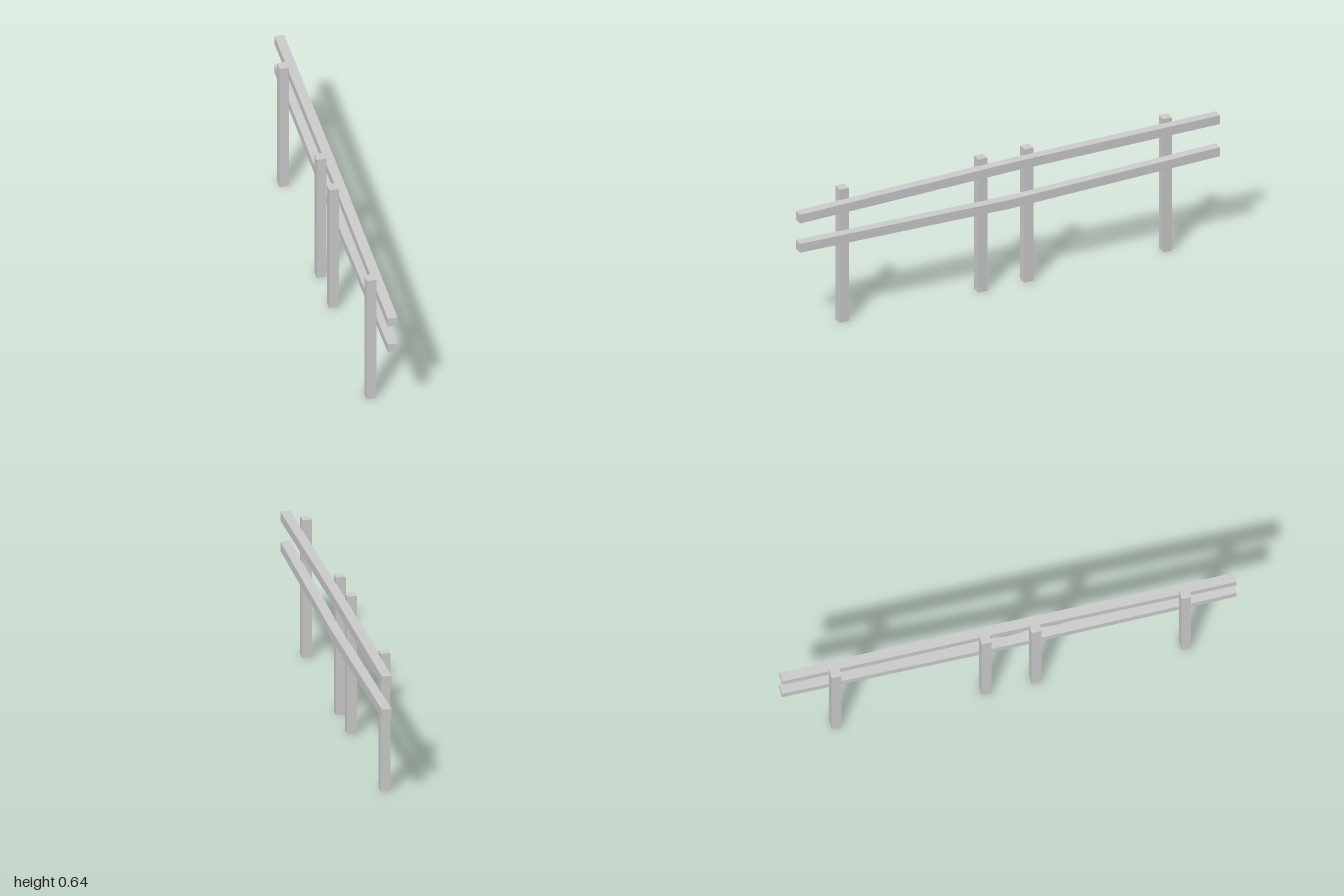
import * as THREE from 'three';

const SIZE = 0.043; // timber thickness
const POST_HEIGHT = 0.636;

const material = new THREE.MeshStandardMaterial({
  color: 0xcccccc, flatShading: true, side: THREE.DoubleSide,
});

// Square post, open underneath where it meets the ground
function makePost(z) {
  const geometry = new THREE.BoxGeometry(SIZE, POST_HEIGHT, SIZE);
  const index = Array.from(geometry.index.array);
  index.splice(18, 6); // drop the bottom face
  geometry.setIndex(index);
  geometry.clearGroups();
  const post = new THREE.Mesh(geometry, material);
  post.name = 'post';
  post.position.set(-0.021, POST_HEIGHT / 2, z);
  return post;
}

// Rail in two straight halves; heights are its centre line at front, middle and back
function makeRail(name, front, middle, back) {
  const geometry = new THREE.BoxGeometry(SIZE, 0.042, 2, 1, 1, 2);
  const p = geometry.attributes.position;
  for (let i = 0; i < p.count; i++) {
    const z = p.getZ(i);
    const end = z > 0 ? front : back;
    p.setY(i, p.getY(i) + THREE.MathUtils.lerp(middle, end, Math.abs(z)));
  }
  geometry.computeVertexNormals();
  const rail = new THREE.Mesh(geometry, material);
  rail.name = name;
  rail.position.x = 0.02;
  return rail;
}

export function createModel() {
  const fence = new THREE.Group();
  fence.name = 'fence';

  for (const z of [0.77, 0.11, -0.11, -0.77]) fence.add(makePost(z));

  fence.add(makeRail('upperRail', 0.559, 0.588, 0.598));
  fence.add(makeRail('lowerRail', 0.42, 0.412, 0.445));

  return fence;
}
